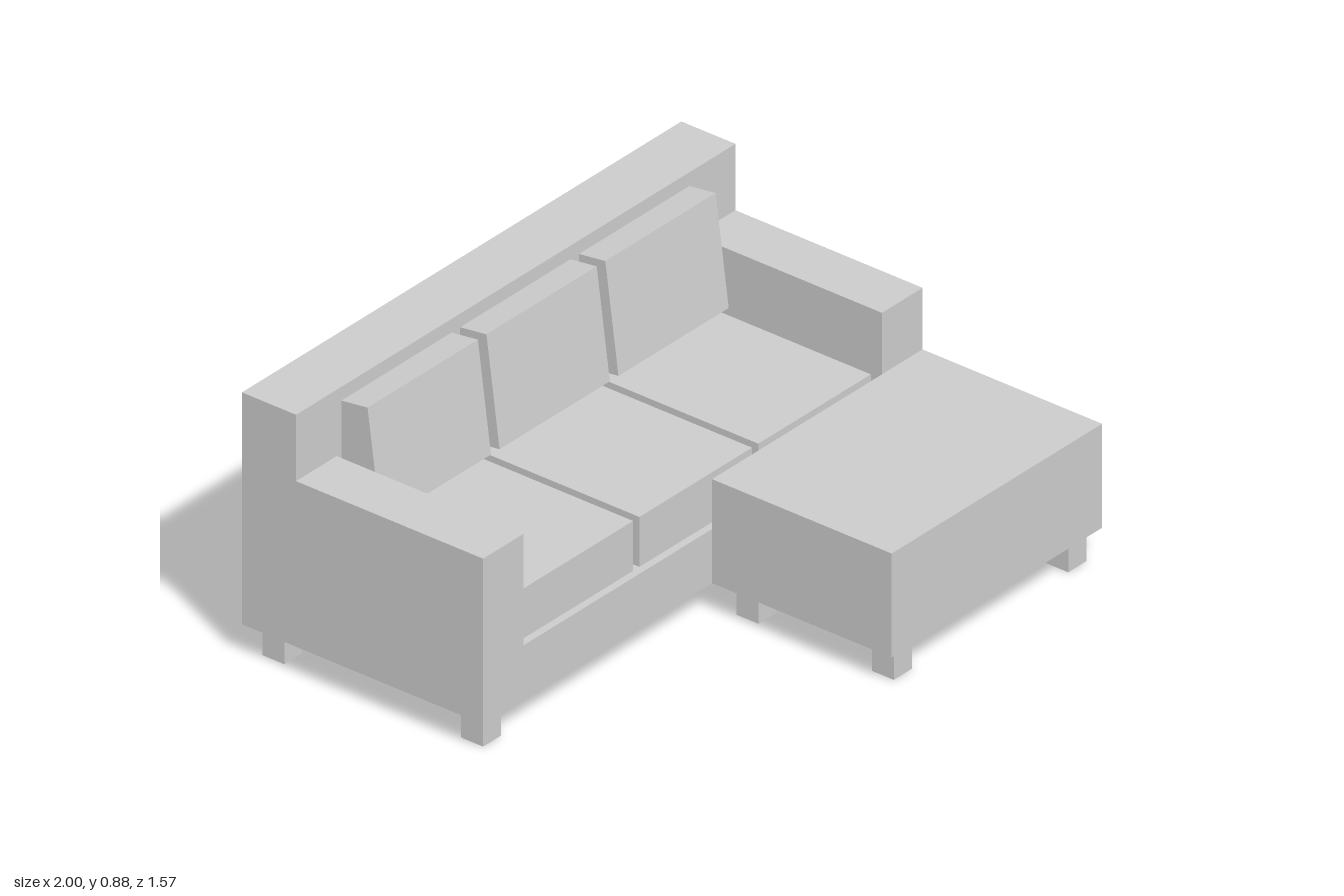
import * as THREE from 'three';

const fabric = new THREE.MeshStandardMaterial({ color: 0xcccccc });
fabric.name = 'grey fabric';

export function createModel() {
  const sofa = new THREE.Group();
  sofa.name = 'cornerSofa';

  const add = (name, geometry) => {
    const mesh = new THREE.Mesh(geometry, fabric);
    mesh.name = name;
    sofa.add(mesh);
    return mesh;
  };

  // Box given by its lower and upper corner on each axis
  const box = (name, [x0, x1], [y0, y1], [z0, z1]) =>
    add(name, new THREE.BoxGeometry(x1 - x0, y1 - y0, z1 - z0))
      .position.set((x0 + x1) / 2, (y0 + y1) / 2, (z0 + z1) / 2);

  const extrude = (points, depth) => new THREE.ExtrudeGeometry(
    new THREE.Shape(points.map(([x, y]) => new THREE.Vector2(x, y))),
    { depth, bevelEnabled: false });

  const bottom = 0.104, seatTop = 0.452, wall = -0.583, front = 0.115, end = 0.785;

  // Backrest wall
  box('backrest', [-1, 1], [bottom, 0.88], [-end, wall]);

  // Base and both arms as one U-shaped frame
  const frame = extrude([
    [-1, bottom], [1, bottom], [1, 0.658], [0.815, 0.658],
    [0.815, 0.285], [-0.815, 0.285], [-0.815, 0.658], [-1, 0.658],
  ], front - wall);
  add('armsAndBase', frame).position.z = wall;

  // Chaise extending forward on the left
  box('chaise', [0.042, 1], [bottom, seatTop], [front, end]);

  // Seat cushions and leaning back cushions
  const backProfile = [[0.436, 0.481], [0.485, 0.847], [0.585, 0.834], [0.585, 0.462]];
  for (const x of [-0.543, -0.002, 0.539]) {
    box('seatCushion', [x - 0.256, x + 0.256], [0.285, seatTop], [wall, 0.09]);
    const cushion = extrude(backProfile.slice().reverse(), 0.502);
    cushion.rotateY(Math.PI / 2); // profile x becomes -z, depth becomes x
    add('backCushion', cushion).position.x = x - 0.251;
  }

  // Square legs under the sofa and the chaise
  const legs = [
    [-0.92, -0.7], [0.92, -0.7], [-0.92, 0.042], [0.92, 0.042],
    [0.126, 0.212], [0.92, 0.212], [0.126, 0.717], [0.92, 0.717],
  ];
  for (const [x, z] of legs) {
    box('leg', [x - 0.041, x + 0.041], [0, bottom], [z - 0.041, z + 0.041]);
  }

  return sofa;
}
